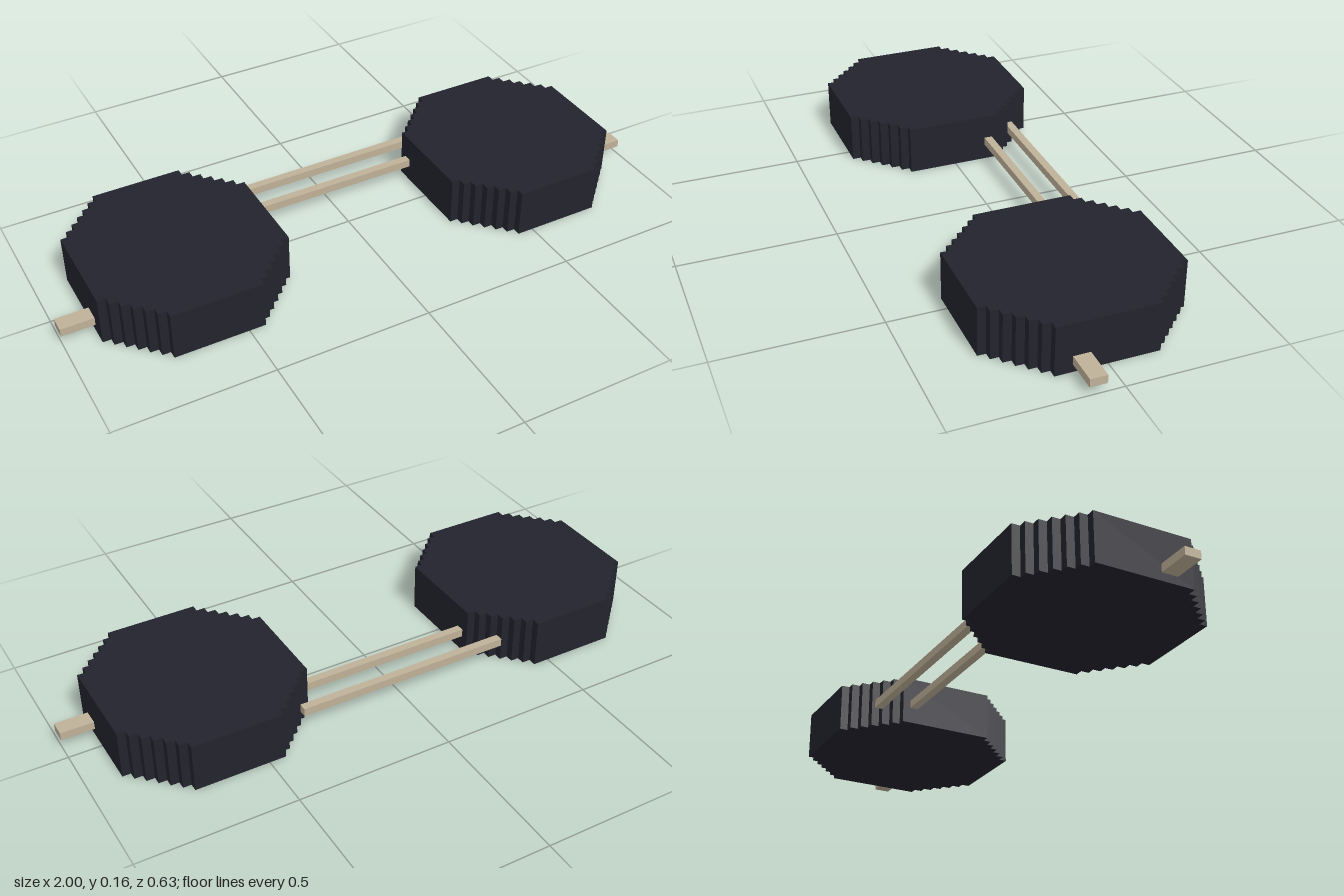
import * as THREE from 'three';

const U = 1 / 38; // one block

export function createModel() {
  const group = new THREE.Group();
  const dark = new THREE.MeshStandardMaterial({ color: 0x23232d });
  dark.name = 'dark slate';
  const tan = new THREE.MeshStandardMaterial({ color: 0xbfb198 });
  tan.name = 'tan';

  // Block given by its min and max corners, in block units
  const addBar = (name, a, b) => {
    const size = b.map((v, i) => (v - a[i]) * U);
    const bar = new THREE.Mesh(new THREE.BoxGeometry(...size), tan);
    bar.position.set(...b.map((v, i) => ((v + a[i]) / 2) * U));
    bar.name = name;
    group.add(bar);
  };

  // Octagonal outline with stepped corners: one quarter, rotated into the others
  const steps = 6, halfX = 11.5, halfZ = 12;
  const quarter = [];
  for (let k = 0; k < steps; k++) {
    quarter.push([halfX - k, halfZ - steps + k], [halfX - k - 1, halfZ - steps + k]);
  }
  quarter.push([halfX - steps, halfZ]);
  const mirrored = (sx, sy) => quarter.map(([x, y]) => new THREE.Vector2(x * sx * U, y * sy * U));
  const outline = new THREE.Shape([
    ...mirrored(1, 1),
    ...mirrored(-1, 1).reverse(),
    ...mirrored(-1, -1),
    ...mirrored(1, -1).reverse(),
  ]);
  const podGeometry = new THREE.ExtrudeGeometry(outline, { depth: 6 * U, bevelEnabled: false });
  podGeometry.rotateX(-Math.PI / 2);

  // Two pods
  for (const [side, s] of [['left', 1], ['right', -1]]) {
    const pod = new THREE.Mesh(podGeometry, dark);
    pod.position.x = s * 22.5 * U;
    pod.name = side + 'Pod';
    group.add(pod);
  }

  // Outer stubs
  addBar('leftStub', [34, 1, 2], [38, 2, 4]);
  addBar('rightStub', [-38, 1, 2], [-34, 2, 4]);

  // Connecting rods
  addBar('rearRod', [-14, 2, -9], [13, 3, -8]);
  addBar('frontRod', [-11, 2, -5], [11, 3, -4]);

  return group;
}
